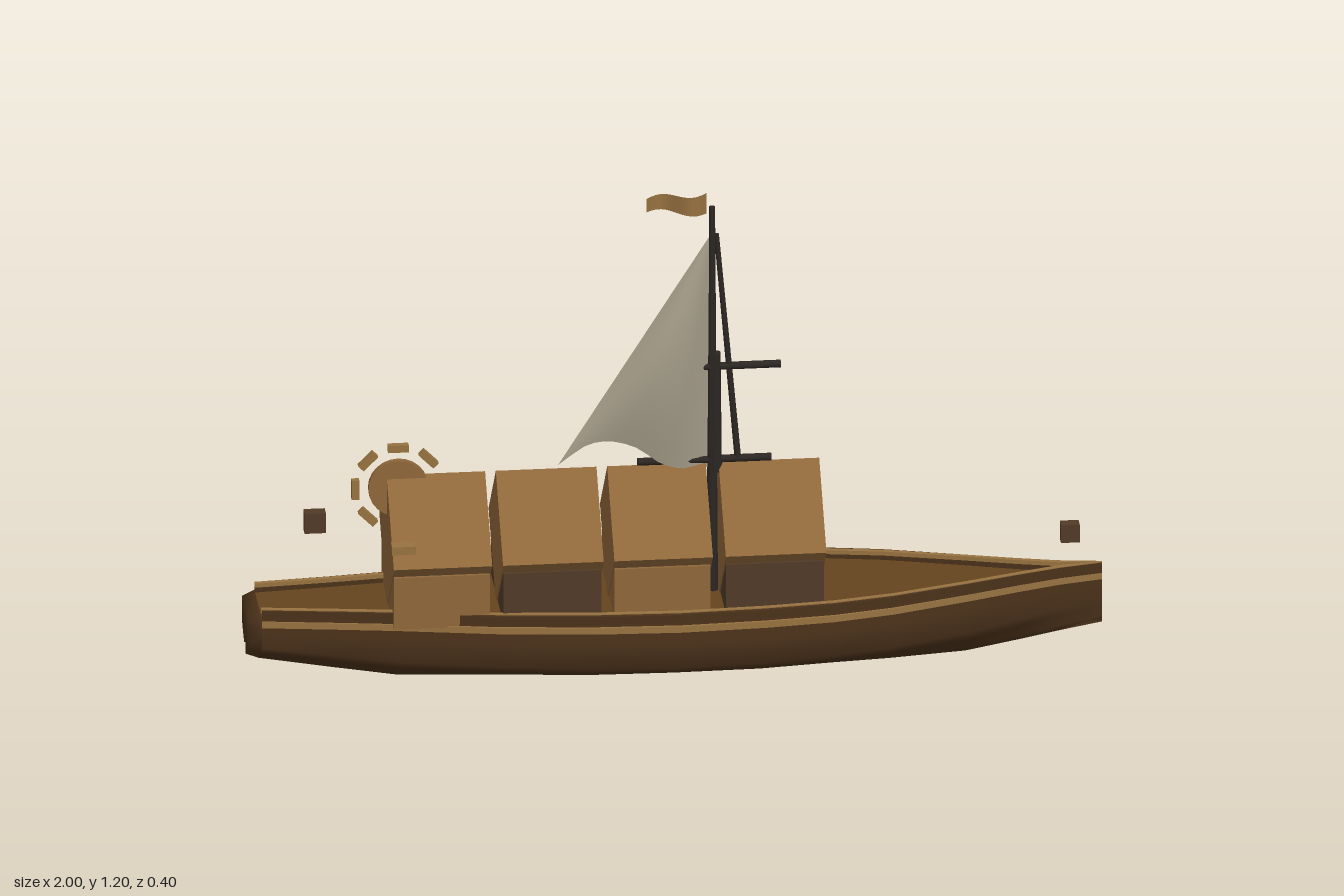
import * as THREE from 'three';

const paint = (color, side = THREE.FrontSide) => new THREE.MeshStandardMaterial({ color, side, roughness: 0.8 });
const hullWood = paint(0x4a311a, THREE.DoubleSide);
const deckWood = paint(0x65441f, THREE.DoubleSide);
const roofWood = paint(0x8f673a);
const darkWood = paint(0x513a27);
const trim = paint(0x977240, THREE.DoubleSide);
const spar = paint(0x2b2622);
const cloth = paint(0xa39b88, THREE.DoubleSide);

// Stations along the hull: x, half width, bottom height
const stations = [
  [-0.97, 0.09, 0.075], [-0.8, 0.11, 0.045], [-0.65, 0.13, 0.02], [-0.42, 0.168, 0.012],
  [-0.2, 0.19, 0.002], [0, 0.198, 0], [0.2, 0.19, 0.001], [0.36, 0.175, 0.008], [0.5, 0.147, 0.012],
  [0.68, 0.092, 0.02], [0.8, 0.052, 0.04], [0.9, 0.022, 0.058], [1, 0.003, 0.075],
];
// Cross-section: share of half width, share of depth (channel along the keel)
const section = [
  [0.95, 0], [0.97, 0.25], [1, 0.55], [0.75, 0.7], [0.3, 0.88], [0.14, 0.98], [0.04, 0.85], [0, 0.62],
  [-0.08, 0.63], [-0.17, 0.74], [-0.32, 0.85], [-0.7, 0.7], [-1, 0.55], [-0.97, 0.25], [-0.95, 0],
];

// Skin a list of equal-length cross-sections
function loft(rows, closed = false) {
  const n = rows[0].length, index = [];
  for (let i = 0; i < rows.length - 1; i++)
    for (let j = 0; j < (closed ? n : n - 1); j++) {
      const a = i * n + j, b = i * n + (j + 1) % n;
      index.push(a, b, a + n, b, b + n, a + n);
    }
  const g = new THREE.BufferGeometry();
  g.setAttribute('position', new THREE.Float32BufferAttribute(rows.flat(2), 3));
  g.setIndex(index);
  g.computeVertexNormals();
  return g;
}

export function createModel() {
  const model = new THREE.Group();
  const add = (name, geo, mat, x = 0, y = 0, z = 0) => {
    const m = new THREE.Mesh(geo, mat);
    m.name = name;
    m.position.set(x, y, z);
    model.add(m);
    return m;
  };
  const box = (name, w, h, d, mat, x, y, z) => add(name, new THREE.BoxGeometry(w, h, d), mat, x, y, z);

  // Hull, transom and deck
  const top = x => 0.2 + 0.008 * x * x;
  const hullRows = stations.map(([x, w, b]) => section.map(([s, t]) => [x, top(x) - (top(x) - b) * t, s * w]));
  add('hull', loft(hullRows), hullWood);
  const stern = hullRows[0];
  const shrink = (k, x) => stern.map(([, y, z]) => [x, 0.15 + (y - 0.15) * k, z * k]);
  add('transom', loft([shrink(0, -1), shrink(0.85, -1), stern], true), hullWood);
  add('deck', loft(stations.map(([x, w]) => [[x, top(x) - 0.002, -w * 0.95], [x, top(x) - 0.002, w * 0.95]])), deckWood);

  // Rails running along both sides
  const rail = (name, side, share, thick, y0, y1, mat) => {
    const rows = stations.map(([x, w]) => {
      const o = side * w * share, i = side * Math.max(w * share - thick, 0), y = top(x);
      return [[x, y + y0, o], [x, y + y1, o], [x, y + y1, i], [x, y + y0, i]];
    });
    const geo = loft(rows, true).toNonIndexed();
    geo.computeVertexNormals();
    add(name, geo, mat);
  };
  for (const side of [1, -1]) {
    rail('rubRail', side, 0.985, 0.012, -0.022, -0.006, trim);
    rail('bulwark', side, 0.95, 0.012, -0.004, 0.02, hullWood);
    rail('railCap', side, 0.9, 0.012, 0.012, 0.022, trim);
  }

  // Four cabin sections, each with a diamond-section roof
  [[-0.67, -0.44], [-0.415, -0.18], [-0.155, 0.075], [0.105, 0.34]].forEach(([x0, x1], i) => {
    const len = x1 - x0, mid = (x0 + x1) / 2;
    const roof = new THREE.CylinderGeometry(0.168, 0.168, len, 4).toNonIndexed();
    roof.computeVertexNormals();
    roof.rotateZ(Math.PI / 2);
    add('cabinRoof', roof, roofWood, mid, 0.354, 0);
    box('cabinWalls', len - 0.006, 0.13, 0.29, i % 2 ? darkWood : roofWood, mid, 0.258, 0);
  });
  for (const z of [0.14, -0.14]) box('roofBracket', 0.055, 0.02, 0.03, trim, -0.645, 0.396, z);

  // Paddle wheel above the stern cabin
  const wheel = new THREE.Group();
  wheel.name = 'paddleWheel';
  wheel.position.set(-0.643, 0.49, 0);
  const disc = new THREE.Mesh(new THREE.CylinderGeometry(0.07, 0.07, 0.015, 24).rotateX(Math.PI / 2), roofWood);
  disc.name = 'wheelDisc';
  wheel.add(disc);
  for (let i = 0; i < 8; i++) {
    const a = i * Math.PI / 4;
    const paddle = new THREE.Mesh(new THREE.BoxGeometry(0.018, 0.048, 0.016), trim);
    paddle.name = 'paddle';
    paddle.position.set(0.1 * Math.cos(a), 0.1 * Math.sin(a), 0);
    paddle.rotation.z = a;
    wheel.add(paddle);
  }
  model.add(wheel);

  // Lanterns at each end
  box('sternLantern', 0.05, 0.05, 0.03, darkWood, -0.838, 0.413, 0);
  box('bowLantern', 0.044, 0.044, 0.03, darkWood, 0.925, 0.309, 0);

  // Mast, yard, boom and stay
  const pole = (name, a, b, r0, r1) => {
    const p = new THREE.Vector3(...a), q = new THREE.Vector3(...b), d = q.clone().sub(p);
    const m = add(name, new THREE.CylinderGeometry(r1, r0, d.length(), 10), spar);
    m.position.copy(p).addScaledVector(d, 0.5);
    m.quaternion.setFromUnitVectors(new THREE.Vector3(0, 1, 0), d.normalize());
  };
  pole('mast', [0.09, 0.2, 0], [0.09, 1.17, 0], 0.014, 0.007);
  pole('mastSleeve', [0.098, 0.5, 0], [0.098, 0.8, 0], 0.015, 0.012);
  pole('stay', [0.15, 0.53, 0], [0.1, 1.1, 0], 0.008, 0.006);
  pole('yard', [-0.09, 0.765, 0], [0.25, 0.765, 0], 0.009, 0.009);
  pole('boom', [-0.085, 0.53, 0], [0.228, 0.53, 0], 0.009, 0.009);

  // Sail: rows from the peak down to a curved foot, bulging forward
  const foot = new THREE.CatmullRomCurve3([[-0.27, 0.53], [-0.2, 0.583], [-0.15, 0.592], [-0.09, 0.575],
    [-0.03, 0.53], [0.02, 0.513], [0.08, 0.51]].map(([x, y]) => new THREE.Vector3(x, y, 0)));
  const sailRows = [];
  for (let i = 0; i <= 14; i++) {
    const t = i / 14, row = [];
    for (let j = 0; j <= 14; j++) {
      const p = foot.getPoint(j / 14);
      const bulge = 0.042 * Math.sin(Math.PI * j / 14) * Math.sin(Math.PI * Math.pow(t, 1.2) * 0.85);
      row.push([0.087 + (p.x - 0.087) * t, 1.1 + (p.y - 1.1) * t, bulge]);
    }
    sailRows.push(row);
  }
  add('sail', loft(sailRows), cloth);

  // Waving pennant at the masthead
  const flagRows = [];
  for (let i = 0; i <= 12; i++) {
    const t = i / 12, h = 0.026 - 0.009 * t, z = 0.02 * Math.sin(t * Math.PI * 2);
    flagRows.push([[0.077 - 0.14 * t, 1.179 - h, z], [0.077 - 0.14 * t, 1.179 + h, z]]);
  }
  add('pennant', loft(flagRows), trim);

  return model;
}
